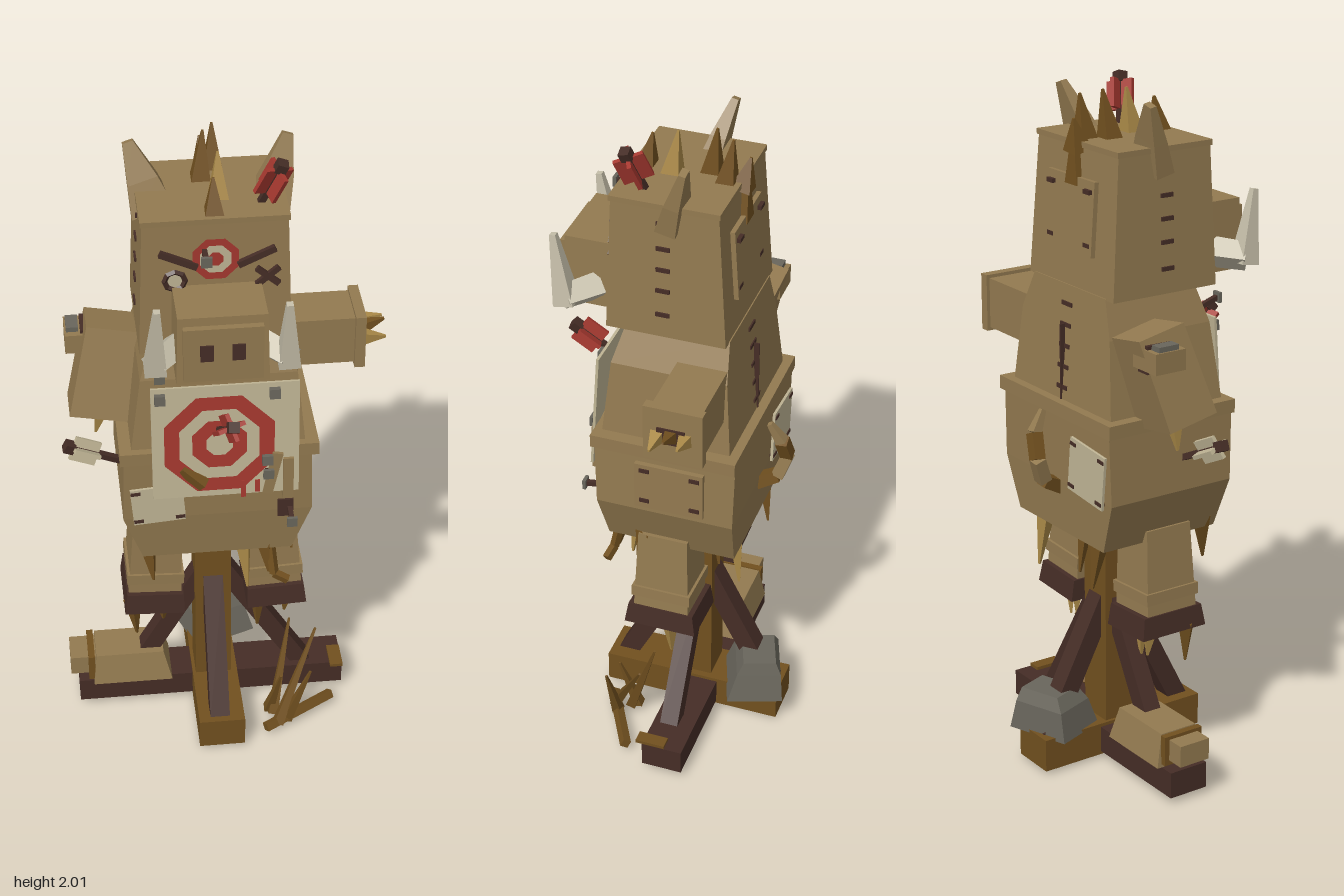
import * as THREE from 'three';

const mat = (name, color) => {
  const m = new THREE.MeshStandardMaterial({ color });
  m.name = name;
  m.flatShading = true;
  return m;
};
const V = (p) => new THREE.Vector3(...p);

export function createModel() {
  const root = new THREE.Group();
  root.name = 'trainingDummy';
  const burlap = mat('burlap', 0x937a50), wood = mat('wood', 0x71501f), dark = mat('darkWood', 0x452d26);
  const red = mat('redPaint', 0xa5382f), cream = mat('creamCloth', 0xc0b595), iron = mat('iron', 0x69665c);
  const straw = mat('straw', 0xab8a48), ivory = mat('ivory', 0xc4bda8);

  const add = (name, geo, m, parent = root) => {
    const mesh = new THREE.Mesh(geo, m);
    mesh.name = name;
    parent.add(mesh);
    return mesh;
  };
  // Box from its limits on each axis
  const box = (name, m, x0, x1, y0, y1, z0, z1, parent) => {
    const b = add(name, new THREE.BoxGeometry(x1 - x0, y1 - y0, z1 - z0), m, parent);
    b.position.set((x0 + x1) / 2, (y0 + y1) / 2, (z0 + z1) / 2);
    return b;
  };
  // Four-sided bar from a to b with square ends of width w0 and w1
  const bar = (name, m, a, b, w0, w1 = w0, parent = root) => {
    const A = V(a), B = V(b), d = B.clone().sub(A);
    const g = new THREE.CylinderGeometry(w1 / Math.SQRT2, w0 / Math.SQRT2, d.length(), 4).rotateY(Math.PI / 4);
    const mesh = add(name, g, m, parent);
    mesh.position.copy(A).lerp(B, 0.5);
    mesh.quaternion.setFromUnitVectors(new THREE.Vector3(0, 1, 0), d.normalize());
    return mesh;
  };
  const spike = (name, m, a, b, w) => bar(name, m, a, b, w, 0.006);
  // Stack of rectangles [y, x0, x1, z0, z1], listed upward
  const loft = (name, m, rows, parent) => {
    const pos = [];
    const ring = rows.map(([y, x0, x1, z0, z1]) => [[x0, y, z1], [x1, y, z1], [x1, y, z0], [x0, y, z0]]);
    const quad = (a, b, c, d) => pos.push(...a, ...b, ...c, ...a, ...c, ...d);
    for (let i = 0; i + 1 < ring.length; i++)
      for (let k = 0; k < 4; k++) {
        const n = (k + 1) % 4;
        quad(ring[i][k], ring[i][n], ring[i + 1][n], ring[i + 1][k]);
      }
    const t = ring[ring.length - 1], b = ring[0];
    quad(t[0], t[1], t[2], t[3]);
    quad(b[3], b[2], b[1], b[0]);
    const g = new THREE.BufferGeometry();
    g.setAttribute('position', new THREE.Float32BufferAttribute(pos, 3));
    g.computeVertexNormals();
    return add(name, g, m, parent);
  };
  const nail = (a, b) => {
    bar('nailShank', dark, a, b, 0.014);
    const h = box('nailHead', iron, -0.015, 0.015, -0.015, 0.015, -0.005, 0.005);
    h.position.set(...b);
  };
  // Concentric eight-sided painted rings
  const target = (radii, parent, z) => radii.forEach(([r0, r1, m]) =>
    add('targetRing', new THREE.RingGeometry(r0, r1, 8, 1, Math.PI / 8), m, parent).position.z = z);
  // Arrow stuck in at a, with crossed feathers near b
  const arrow = (a, b, feather, len, w) => {
    bar('arrowShaft', dark, a, b, 0.018);
    const A = V(a), B = V(b), d = B.clone().sub(A).normalize();
    const g = new THREE.Group();
    g.name = 'arrowFeathers';
    g.position.copy(B).addScaledVector(d, -len / 2 - 0.015);
    g.quaternion.setFromUnitVectors(new THREE.Vector3(0, 1, 0), d);
    for (const r of [0.4, 0.4 + Math.PI / 2])
      add('feather', new THREE.BoxGeometry(w, len, 0.012), feather, g).rotation.y = r;
    root.add(g);
    bar('arrowNock', dark, B.clone().addScaledVector(d, -0.02).toArray(), B.clone().addScaledVector(d, 0.01).toArray(), 0.03);
  };

  // Crossed base, post and braces
  box('baseBeamWide', dark, -0.455, 0.375, 0.02, 0.1, -0.125, 0);
  box('baseBeamDeep', wood, -0.1, 0.04, 0.01, 0.11, -0.32, 0.235);
  box('post', wood, -0.09, 0.02, 0, 0.78, -0.1, 0.01);
  bar('brace', dark, [-0.29, 0.09, -0.05], [-0.06, 0.5, -0.05], 0.055);
  bar('brace', dark, [0.25, 0.09, -0.05], [0, 0.5, -0.05], 0.055);
  bar('brace', dark, [-0.035, 0.09, 0.19], [-0.035, 0.5, -0.02], 0.06);
  bar('brace', dark, [-0.035, 0.09, -0.28], [-0.035, 0.5, -0.07], 0.06);

  // Rock, fallen limb and splinters around the base
  const rock = loft('rock', iron, [[0, -0.1, 0.1, -0.08, 0.09], [0.09, -0.085, 0.08, -0.075, 0.06], [0.13, -0.06, 0.07, -0.06, 0.04]]);
  rock.position.set(-0.01, 0.1, -0.235);
  rock.rotation.y = 0.35;
  loft('fallenLimb', burlap, [[0.1, -0.41, -0.165, -0.14, 0.02], [0.2, -0.4, -0.19, -0.12, 0]]);
  box('fallenLimbEnd', burlap, -0.48, -0.4, 0.125, 0.19, -0.11, -0.01);
  box('fallenLimbCap', wood, -0.425, -0.405, 0.11, 0.2, -0.125, 0.005);
  bar('fallenPlank', wood, [0.11, 0.025, 0.19], [0.33, 0.035, 0.07], 0.025);
  box('beamEndChip', wood, 0.335, 0.375, 0.1, 0.11, -0.07, 0.02);
  for (const [a, b] of [
    [[0.15, 0.02, 0.17], [0.28, 0.29, 0.04]], [[0.14, 0.02, 0.12], [0.2, 0.32, 0.02]],
    [[0.18, 0.02, 0.15], [0.25, 0.22, 0.16]], [[0.13, 0.02, 0.1], [0.16, 0.2, 0.15]]])
    spike('splinter', wood, a, b, 0.03);

  // Legs, hooves and straw poking out below
  for (const s of [-1, 1]) {
    const leg = new THREE.Group();
    leg.name = s < 0 ? 'rightLeg' : 'leftLeg';
    leg.position.set(-0.035 + s * 0.17, 0.75, -0.01);
    leg.rotation.z = s * 0.05;
    loft('legCloth', burlap, [[-0.25, -0.08, 0.08, -0.085, 0.085], [0.02, -0.072, 0.072, -0.075, 0.075]], leg);
    box('legBand', burlap, -0.085, 0.085, -0.2, -0.165, -0.09, 0.09, leg);
    loft('hoof', dark, [[-0.3, -0.09, 0.09, -0.11, 0.11], [-0.235, -0.085, 0.085, -0.1, 0.1]], leg);
    root.add(leg);
    [[-0.06, 0.05, wood], [-0.02, -0.05, straw], [0.03, 0.06, wood], [0.05, -0.03, straw]].forEach(([x, z, m], i) =>
      spike('legStraw', m, [-0.035 + s * 0.19 + x, 0.47, z], [-0.035 + s * 0.185 + x * 0.9, 0.34 + 0.03 * (i % 3), z * 1.1], 0.04));
  }
  for (const [x, z, y, m] of [[-0.24, 0.13, 0.63, wood], [-0.12, -0.12, 0.64, straw], [0.04, 0.12, 0.57, straw],
    [0.1, 0.14, 0.64, wood], [0.18, 0.05, 0.65, wood], [-0.2, -0.19, 0.6, wood], [0.08, -0.19, 0.58, straw], [0, -0.1, 0.56, wood]])
    spike('bellyStraw', m, [x, 0.77, z], [x + 0.015, y, z + Math.sign(z) * 0.02], 0.045);
  bar('looseThread', wood, [0.12, 0.74, 0.15], [0.13, 0.64, 0.17], 0.02);
  bar('looseThread', wood, [0.13, 0.64, 0.17], [0.17, 0.62, 0.18], 0.02);

  // Torso and waist
  loft('belly', burlap, [[0.735, -0.255, 0.18, -0.22, 0.165], [0.89, -0.31, 0.235, -0.23, 0.18], [1.09, -0.305, 0.23, -0.235, 0.185]]);
  loft('chest', burlap, [[1.1, -0.285, 0.215, -0.215, 0.17], [1.35, -0.25, 0.19, -0.195, 0.145], [1.46, -0.215, 0.14, -0.185, 0.115]]);
  box('waistBand', burlap, -0.315, 0.25, 1.09, 1.13, -0.24, 0.19);
  spike('neckStraw', straw, [-0.03, 1.47, 0.1], [-0.02, 1.4, 0.16], 0.06);
  for (let i = 0; i < 5; i++) {
    const y = 1.16 + i * 0.06, z = -0.214 + (y - 1.1) * 0.08;
    box('backStitch', dark, -0.06, -0.01, y, y + 0.012, z - 0.004, z + 0.01);
  }
  box('backSeam', dark, -0.037, -0.033, 1.13, 1.35, -0.216, -0.2);

  // Patches: side, lower front, lower back
  box('sidePatch', burlap, 0.23, 0.246, 0.91, 1.06, -0.145, 0.06);
  for (const y of [0.93, 1.035]) for (const z of [-0.12, 0.03])
    box('patchStitch', dark, 0.244, 0.25, y, y + 0.012, z - 0.015, z + 0.015);
  const patch = (name, x, y, z, w, h, turn) => {
    const g = new THREE.Group();
    g.name = name;
    g.position.set(x, y, z);
    g.rotation.z = turn;
    box('patchCloth', cream, -w / 2, w / 2, -h / 2, h / 2, -0.004, 0.004, g);
    for (const i of [-1, 1]) for (const j of [-1, 1])
      box('patchStitch', dark, i * w * 0.4 - 0.014, i * w * 0.4 + 0.014, j * h * 0.4 - 0.005, j * h * 0.4 + 0.005, -0.007, 0.007, g);
    root.add(g);
  };
  patch('frontPatch', -0.21, 0.945, 0.188, 0.15, 0.125, 0.08);
  patch('backPatch', -0.2, 0.96, -0.238, 0.17, 0.16, 0.1);
  box('frontHole', dark, 0.135, 0.18, 0.87, 0.93, 0.17, 0.187);

  // Chest target board
  const board = new THREE.Group();
  board.name = 'chestTarget';
  board.position.set(-0.035, 1.16, 0.198);
  board.rotation.x = -0.07;
  box('targetCloth', cream, -0.19, 0.225, -0.175, 0.19, -0.004, 0.004, board);
  target([[0, 0.04, cream], [0.04, 0.083, red], [0.083, 0.122, cream], [0.122, 0.168, red]], board, 0.006);
  for (const [x, y] of [[0.06, -0.185], [0.1, -0.17]]) box('paintDrip', red, x, x + 0.014, y, -0.13, 0.003, 0.007, board);
  for (const [x, y] of [[-0.165, 0.16], [0.155, 0.16], [0.135, -0.06]])
    box('boardTack', iron, x - 0.015, x + 0.015, y - 0.015, y + 0.015, 0, 0.02, board);
  root.add(board);
  bar('splinter', wood, [-0.14, 1.08, 0.2], [-0.08, 1.03, 0.22], 0.03);
  bar('tornStrip', burlap, [0.13, 1.12, 0.2], [0.1, 0.98, 0.2], 0.03);
  bar('tornStrip', burlap, [0.16, 1.1, 0.2], [0.16, 0.96, 0.2], 0.03);
  nail([-0.2, 1.37, 0.12], [-0.2, 1.4, 0.21]);
  nail([0.1, 1.05, 0.18], [0.1, 1.07, 0.24]);
  nail([0.17, 0.9, 0.17], [0.17, 0.89, 0.24]);
  arrow([-0.04, 1.19, 0.18], [-0.01, 1.31, 0.33], red, 0.075, 0.08);

  // Raised left arm with splintered end
  box('leftArm', burlap, 0.12, 0.39, 1.235, 1.385, -0.19, -0.045);
  box('leftArmCuff', burlap, 0.38, 0.41, 1.225, 1.395, -0.2, -0.03);
  box('leftArmHole', dark, 0.405, 0.414, 1.285, 1.335, -0.15, -0.07);
  for (const [z, m, y] of [[-0.15, straw, 1.32], [-0.11, wood, 1.335], [-0.07, straw, 1.3]])
    spike('armSplinter', m, [0.39, 1.305, z], [0.475, y, z], 0.045);

  // Drooping right arm
  const arm = loft('rightArm', burlap, [[-0.27, -0.09, 0.08, -0.07, 0.09], [0, -0.075, 0.07, -0.08, 0.07]]);
  arm.position.set(-0.31, 1.385, -0.11);
  arm.rotation.set(-0.2, 0, -0.17);
  box('shoulderStump', burlap, -0.445, -0.34, 1.3, 1.36, -0.18, -0.08);
  box('shoulderStrap', dark, -0.4, -0.355, 1.29, 1.37, -0.175, -0.09);
  box('stumpCap', iron, -0.44, -0.405, 1.32, 1.375, -0.165, -0.1);
  spike('armSplinter', straw, [-0.35, 1.13, -0.05], [-0.37, 1.04, -0.05], 0.04);
  arrow([-0.29, 0.98, 0.02], [-0.455, 1.06, 0.04], cream, 0.08, 0.07);

  // Bent tail
  const tail = [[-0.03, 0.87, -0.22], [-0.04, 0.9, -0.28], [-0.05, 0.97, -0.305], [-0.02, 1.04, -0.295], [-0.01, 1.1, -0.26]];
  for (let i = 0; i < 4; i++) bar('tailPiece', i % 2 ? burlap : wood, tail[i], tail[i + 1], 0.04 - i * 0.003, i === 3 ? 0.015 : 0.035);

  // Head, snout and stitched patches
  loft('head', burlap, [[1.455, -0.25, 0.168, -0.182, 0.165], [1.86, -0.235, 0.155, -0.155, 0.15]]);
  box('headCrown', burlap, -0.24, 0.16, 1.85, 1.866, -0.16, 0.155);
  loft('snout', burlap, [[1.46, -0.163, 0.088, 0.12, 0.325], [1.665, -0.158, 0.083, 0.12, 0.315]]);
  box('snoutPlate', burlap, -0.145, 0.07, 1.475, 1.64, 0.31, 0.335);
  for (const x of [-0.1, -0.015]) box('nostril', dark, x, x + 0.036, 1.54, 1.59, 0.33, 0.339);
  for (const y of [1.52, 1.595, 1.66, 1.725, 1.8]) {
    const k = (y - 1.455) / 0.405;
    box('leftStitch', dark, 0.15, 0.173 - 0.013 * k, y, y + 0.012, -0.02, 0.02);
    box('rightStitch', dark, -0.255 + 0.015 * k, -0.23, y, y + 0.012, -0.02, 0.02);
  }
  const backPlate = box('headBackPatch', burlap, -0.15, 0.08, 1.56, 1.77, -0.182, -0.166);
  backPlate.rotation.x = 0.066;
  for (const x of [-0.125, 0.055]) for (const y of [1.585, 1.735])
    box('patchStitch', dark, x - 0.015, x + 0.015, y, y + 0.012, -0.188, -0.17);

  // Face: painted eye, ring eye, crossed eye, brows
  const mark = new THREE.Group();
  mark.name = 'foreheadTarget';
  mark.position.set(-0.04, 1.745, 0.16);
  target([[0, 0.022, red], [0.022, 0.045, cream], [0.045, 0.067, red]], mark, 0);
  root.add(mark);
  add('eyeWhite', new THREE.CircleGeometry(0.022, 8), cream).position.set(-0.15, 1.685, 0.163);
  add('eyeRing', new THREE.TorusGeometry(0.028, 0.008, 4, 8), dark).position.set(-0.15, 1.685, 0.163);
  for (const s of [-1, 1]) {
    bar('brow', dark, [-0.035 + s * 0.055, 1.725, 0.16], [-0.035 + s * 0.155, 1.77, 0.158], 0.018);
    bar('crossedEye', dark, [0.1 - s * 0.03, 1.66, 0.162], [0.1 + s * 0.03, 1.71, 0.16], 0.016);
  }
  nail([-0.07, 1.77, 0.14], [-0.07, 1.775, 0.22]);

  // Tusks, ears, crest and the arrow in the crown
  for (const s of [-1, 1]) {
    const c = -0.037;
    bar('tuskRoot', ivory, [c + s * 0.11, 1.52, 0.22], [c + s * 0.185, 1.51, 0.295], 0.065, 0.06);
    bar('tuskTip', ivory, [c + s * 0.18, 1.49, 0.29], [c + s * 0.175, 1.7, 0.325], 0.06, 0.018);
    const ear = loft('ear', burlap, [[-0.03, -0.06, 0.06, -0.03, 0.03], [0.06, -0.04, 0.045, -0.025, 0.02], [0.17, -0.015, 0.015, -0.02, 0]]);
    ear.position.set(c + s * 0.165, 1.83, -0.02);
    ear.rotation.set(-0.22, 0, -s * 0.3);
  }
  for (const [x, z, dx, h, m] of [[-0.04, 0.12, 0, 0.1, wood], [-0.02, 0.04, 0, 0.13, straw], [-0.06, -0.06, 0.01, 0.14, wood],
    [-0.02, -0.115, 0, 0.13, wood], [-0.04, -0.155, -0.01, 0.07, wood]])
    spike('crestSpike', m, [x, 1.84, z], [x + dx, 1.86 + h, z - 0.02], 0.06);
  spike('crestSpike', wood, [-0.04, 1.75, -0.15], [-0.04, 1.9, -0.17], 0.06);
  arrow([0.08, 1.84, 0.07], [0.14, 1.99, 0.11], red, 0.085, 0.085);

  return root;
}
